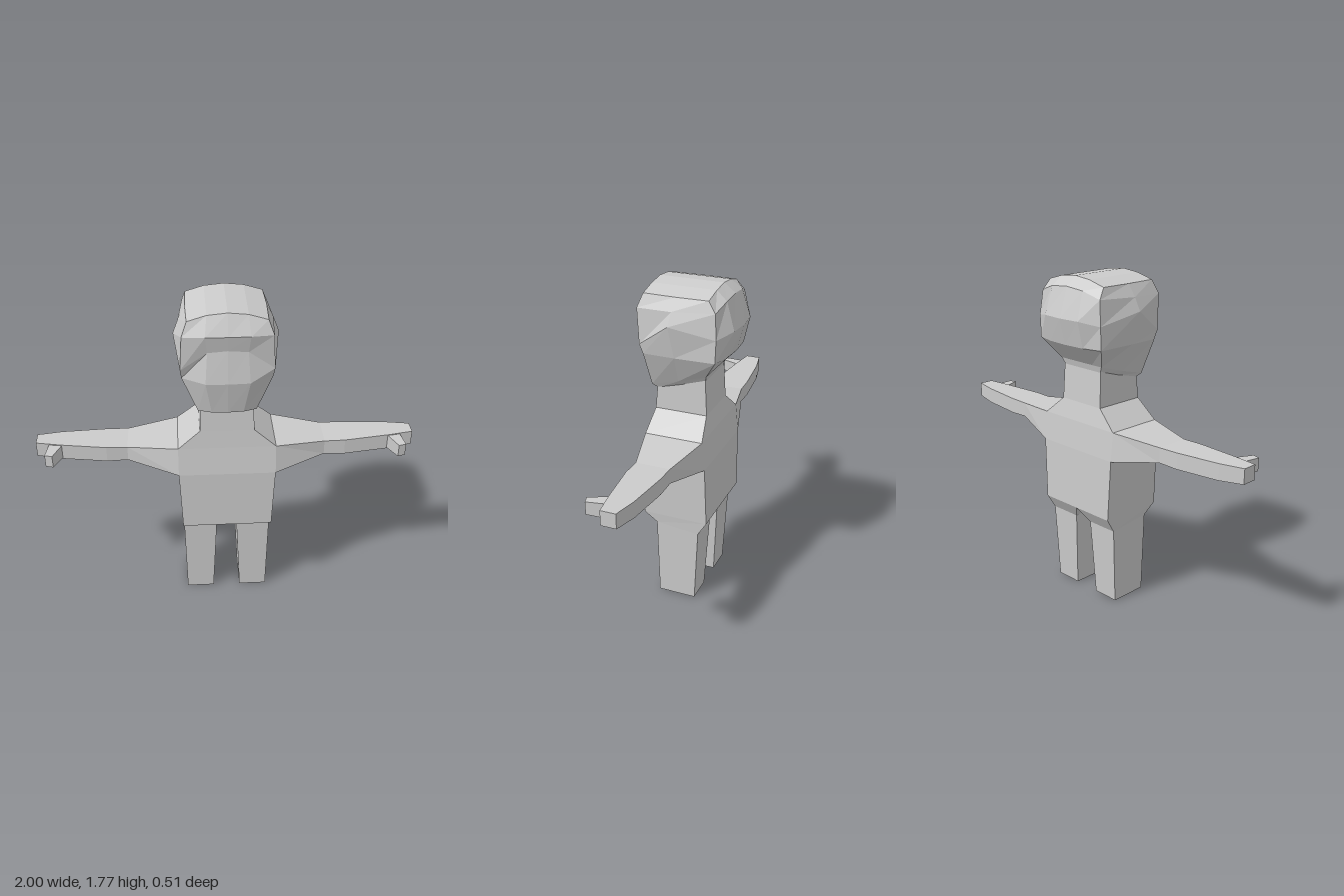
import * as THREE from 'three';

const grey = new THREE.MeshStandardMaterial({ color: 0xcccccc, flatShading: true });
grey.name = 'light grey';

// Skins a stack of rings (counter-clockwise seen from the last ring's end), faceted.
// skipSides lists ring segments left open; caps close the ends.
function loft(name, rings, { capStart = false, capEnd = false, skipSides = [] } = {}) {
  const pos = [];
  const tri = (a, b, c) => {
    if (a !== b && b !== c && a !== c) pos.push(...a, ...b, ...c);
  };
  const quad = (a, b, c, d) => { tri(a, b, c); tri(a, c, d); };
  const cap = (r, flip) => {
    const n = r.length;
    for (let i = 0; i < n / 2; i++) {
      const q = [r[i], r[i + 1], r[n - i - 1], r[(n - i) % n]];
      quad(...(flip ? q.reverse() : q));
    }
  };
  for (let k = 0; k < rings.length - 1; k++) {
    const lo = rings[k], up = rings[k + 1], n = lo.length;
    for (let i = 0; i < n; i++) {
      if (skipSides.includes(i)) continue;
      const j = (i + 1) % n;
      quad(lo[i], lo[j], up[j], up[i]);
    }
  }
  if (capStart) cap(rings[0], true);
  if (capEnd) cap(rings[rings.length - 1], false);
  const g = new THREE.BufferGeometry();
  g.setAttribute('position', new THREE.Float32BufferAttribute(pos, 3));
  g.computeVertexNormals();
  const mesh = new THREE.Mesh(g, grey);
  mesh.name = name;
  return mesh;
}

const flipX = ([x, y, z]) => [-x, y, z];
const mirrored = rings => rings.map(r => r.map(flipX).reverse());

// Four-cornered rings for parts growing along y, x and z
const ringY = (x0, x1, zf, zb, yf, yb = yf) =>
  [[x1, yb, zb], [x0, yb, zb], [x0, yf, zf], [x1, yf, zf]];
const ringX = (x, y0, y1, zf, zb, zfLow = zf, zbLow = zb) =>
  [[x, y1, zf], [x, y0, zfLow], [x, y0, zbLow], [x, y1, zb]];
const ringZ = (x0, x1, y0, y1, z0, z1) =>
  [[x0, y0, z0], [x1, y0, z1], [x1, y1, z1], [x0, y1, z0]];

// Symmetric head ring from half a section, listed front centre to back centre
const headRing = h => [...h.slice(3), ...h.slice(1, 6).reverse().map(flipX), ...h.slice(0, 3)];

export function createModel() {
  const model = new THREE.Group();
  model.name = 'figure';

  // Torso: belly, chest (open where the arms join), shoulders and neck
  const hip = ringY(-0.24, 0.24, 0.21, -0.15, 0.51);
  const armpit = ringY(-0.255, 0.255, 0.205, -0.145, 0.845);
  const shoulder = ringY(-0.255, 0.255, 0.185, -0.13, 1.0);
  const neckBase = ringY(-0.14, 0.14, 0.175, -0.11, 1.1);
  const neckTop = ringY(-0.135, 0.135, 0.158, -0.1, 1.3);
  model.add(
    loft('belly', [hip, armpit]),
    loft('chest', [armpit, shoulder], { skipSides: [1, 3] }),
    loft('shouldersAndNeck', [shoulder, neckBase, neckTop])
  );

  // Limbs, defined on the left and mirrored
  const leg = [
    ringY(0.075, 0.225, 0.135, -0.075, 0),
    ringY(0.055, 0.235, 0.14, -0.1, 0.455, 0.43),
    ringY(0, 0.24, 0.21, -0.15, 0.51),
  ];
  const arm = [
    ringX(0.255, 0.845, 1.0, 0.185, -0.13, 0.205, -0.145),
    ringX(0.52, 0.895, 0.975, 0.115, -0.07),
    ringX(0.63, 0.891, 0.977, 0.115, -0.068),
    ringX(0.87, 0.896, 0.982, 0.085, -0.045),
    ringX(1.0, 0.905, 0.985, 0.063, -0.018),
  ];
  const thumb = [
    ringZ(0.86, 0.93, 0.9, 0.978, 0.075, 0.065),
    ringZ(0.905, 0.945, 0.907, 0.975, 0.18, 0.168),
  ];
  for (const [side, f] of [['left', r => r], ['right', mirrored]]) {
    model.add(
      loft(side + 'Leg', f(leg), { capStart: true }),
      loft(side + 'Arm', f(arm), { capEnd: true }),
      loft(side + 'Thumb', f(thumb), { capEnd: true })
    );
  }

  // Head sections, from under the chin up to the crown
  const jawUnder = headRing([[0, 1.215, 0.16], [0.07, 1.215, 0.16], [0.135, 1.215, 0.158],
    [0.135, 1.25, 0.03], [0.13, 1.285, -0.1], [0.07, 1.285, -0.1], [0, 1.285, -0.1]]);
  const chin = headRing([[0, 1.24, 0.225], [0.08, 1.24, 0.22], [0.148, 1.235, 0.19],
    [0.155, 1.275, 0.04], [0.15, 1.32, -0.11], [0.08, 1.32, -0.11], [0, 1.32, -0.11]]);
  const cheek = headRing([[0, 1.42, 0.26], [0.11, 1.42, 0.255], [0.226, 1.43, 0.2],
    [0.23, 1.43, 0.03], [0.225, 1.43, -0.185], [0.12, 1.43, -0.212], [0, 1.43, -0.22]]);
  const fringe = headRing([[0, 1.59, 0.236], [0.1, 1.58, 0.232], [0.232, 1.48, 0.217],
    [0.262, 1.6, 0.05], [0.225, 1.55, -0.19], [0.12, 1.57, -0.245], [0, 1.57, -0.255]]);
  const brow = headRing([[0, 1.67, 0.252], [0.11, 1.67, 0.25], [0.222, 1.665, 0.23],
    [0.235, 1.67, 0.04], [0.21, 1.68, -0.18], [0.11, 1.715, -0.202], [0, 1.725, -0.205]]);
  const crown = headRing([[0, 1.772, 0.2], [0.1, 1.762, 0.2], [0.195, 1.735, 0.205],
    [0.2, 1.735, 0.03], [0.195, 1.735, -0.14], [0.1, 1.762, -0.145], [0, 1.772, -0.145]]);
  model.add(
    loft('face', [jawUnder, chin, cheek, fringe], { capStart: true }),
    loft('hair', [fringe, brow, crown], { capEnd: true })
  );
  return model;
}
